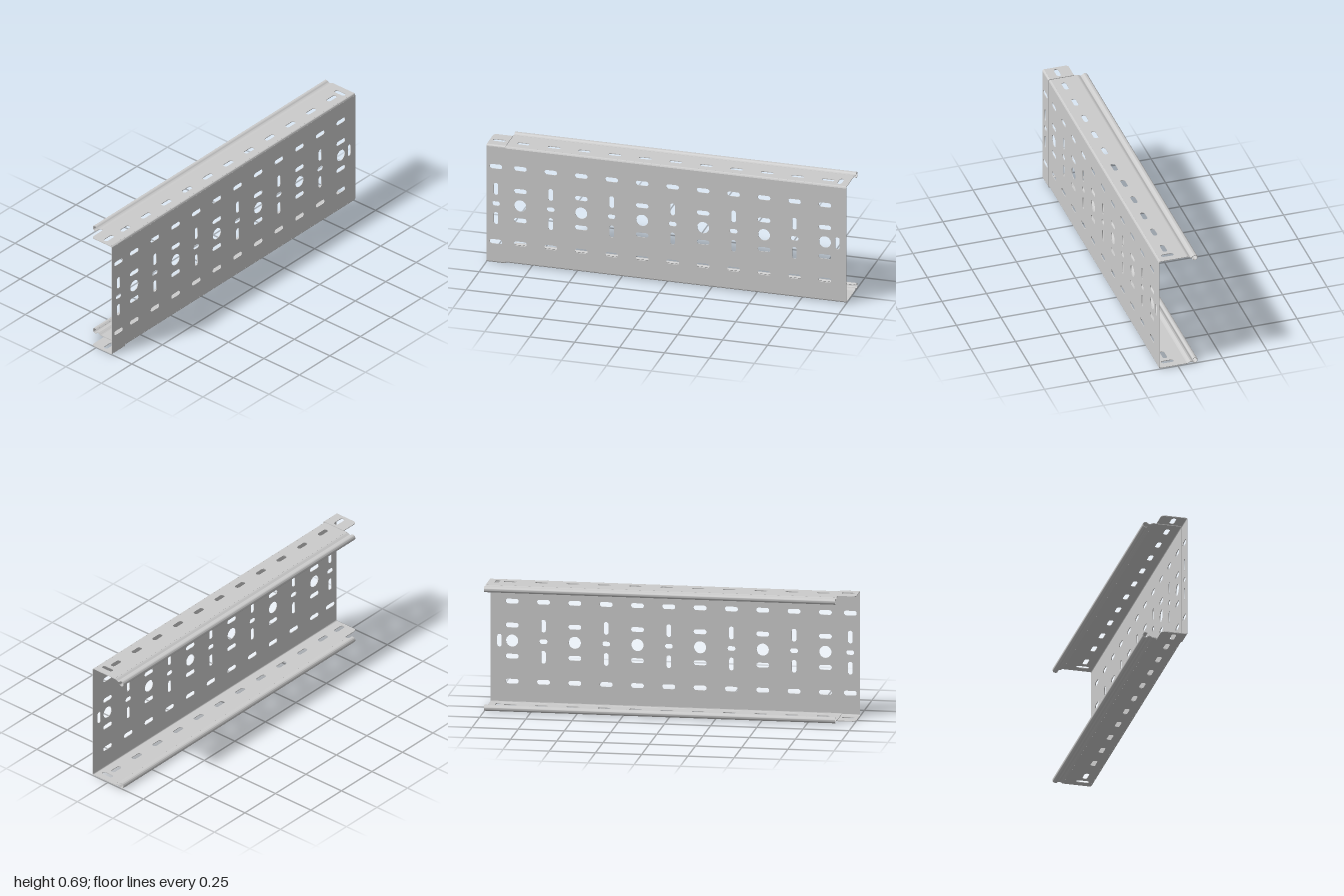
import * as THREE from 'three';
import { toCreasedNormals } from 'three/addons/utils/BufferGeometryUtils.js';

const H = 0.686;        // overall height
const T = 0.004;        // sheet thickness
const R = 0.008;        // bend radius on the sheet centreline
const MID = H / 2;
const JOINT = -0.9;     // where the widened coupling end meets the channel
const END_X = -0.947;   // hole column of the coupling end
const columns = Array.from({ length: 11 }, (_, i) => -0.813 + 0.1695 * i);

const material = new THREE.MeshStandardMaterial({ color: 0xcccccc, side: THREE.DoubleSide });

function addMesh(group, name, geometry) {
  const mesh = new THREE.Mesh(toCreasedNormals(geometry, 0.6), material);
  mesh.name = name;
  group.add(mesh);
}

// Round-ended slot; a square w x h gives a circle
function slot(x, y, w, h) {
  const r = Math.min(w, h) / 2, dx = w / 2 - r, dy = h / 2 - r;
  const p = new THREE.Path();
  if (w >= h) {
    p.absarc(x + dx, y, r, -Math.PI / 2, Math.PI / 2, false);
    p.absarc(x - dx, y, r, Math.PI / 2, Math.PI * 1.5, false);
  } else {
    p.absarc(x, y + dy, r, 0, Math.PI, false);
    p.absarc(x, y - dy, r, Math.PI, Math.PI * 2, false);
  }
  return p;
}

// Flat sheet with holes; c rounds its upper left corner
function sheet(x0, x1, y0, y1, holes, c = 0) {
  const s = new THREE.Shape();
  s.moveTo(x0, y0);
  s.lineTo(x1, y0);
  s.lineTo(x1, y1);
  s.lineTo(x0 + c, y1);
  if (c) s.quadraticCurveTo(x0, y1, x0, y1 - c);
  s.holes.push(...holes);
  return new THREE.ExtrudeGeometry(s, { depth: T, bevelEnabled: false, curveSegments: 10 });
}

// Sheet strip of thickness t following (z, y) centreline points, run along x
function strip(points, x0, x1, t) {
  const outer = [], inner = [];
  points.forEach((p, i) => {
    const a = points[Math.max(i - 1, 0)], b = points[Math.min(i + 1, points.length - 1)];
    const d = b.clone().sub(a).normalize().multiplyScalar(t / 2);
    outer.push(new THREE.Vector2(-(p.x - d.y), p.y + d.x));
    inner.unshift(new THREE.Vector2(-(p.x + d.y), p.y - d.x));
  });
  const g = new THREE.ExtrudeGeometry(new THREE.Shape([...outer, ...inner]),
    { depth: x1 - x0, bevelEnabled: false });
  return g.rotateY(Math.PI / 2).translate(x0, 0, 0);
}

function arc(cx, cy, r, a0, a1, n) {
  return Array.from({ length: n + 1 }, (_, i) => {
    const a = THREE.MathUtils.degToRad(a0 + (a1 - a0) * i / n);
    return new THREE.Vector2(cx + r * Math.cos(a), cy + r * Math.sin(a));
  });
}

const flip = (points) => points.map((p) => new THREE.Vector2(p.x, H - p.y));

// Web, two bends and two flanges of a C section
function section(name, o) {
  const g = new THREE.Group();
  g.name = name;
  const bz = o.front - T / 2 - R, by = o.top - T / 2 - R;
  addMesh(g, 'web', sheet(o.x0, o.x1, H - by, by, o.webHoles).translate(0, 0, o.front - T));
  const bend = arc(bz, by, R, 0, 90, 8);
  addMesh(g, 'upperBend', strip(bend, o.x0, o.x1, T));
  addMesh(g, 'lowerBend', strip(flip(bend), o.x0, o.x1, T));
  for (const [part, y] of [['upperFlange', o.top - T], ['lowerFlange', H - o.top]]) {
    const geo = sheet(o.x0, o.x1, -bz, -o.back, o.flangeHoles, o.corner);
    addMesh(g, part, geo.rotateX(-Math.PI / 2).translate(0, y, 0));
  }
  return g;
}

// Hole patterns
const outerRows = (x) => [-1, 1].map((s) => slot(x, MID + s * 0.219, 0.07, 0.026));
const crossHoles = (x) => [
  ...outerRows(x), slot(x, MID + 0.003, 0.043, 0.025),
  ...[-1, 1].map((s) => slot(x, MID + 0.003 + s * 0.085, 0.025, 0.07)),
];
const roundHoles = (x) => [
  ...outerRows(x), slot(x, MID + 0.003, 0.066, 0.066),
  ...[-1, 1].map((s) => slot(x, MID + 0.003 + s * 0.085, 0.07, 0.026)),
];
const flangeSlot = (x) => slot(x, -0.043, 0.07, 0.026);

export function createModel() {
  const model = new THREE.Group();
  model.name = 'cableTray';

  // Main perforated channel
  const channel = section('channel', {
    x0: JOINT, x1: 1, front: 0.107, top: H - T, back: -0.05, corner: 0,
    webHoles: [...columns.flatMap((x, i) => (i % 2 ? crossHoles(x) : roundHoles(x))),
      slot(0.951, MID + 0.003, 0.025, 0.07)],
    flangeHoles: [...columns.map(flangeSlot), slot(0.951, -0.043, 0.025, 0.07)],
  });
  model.add(channel);

  // Wavy, curled lips along the back of both flanges
  const wave = new THREE.SplineCurve([
    [-0.048, 0.68], [-0.056, 0.679], [-0.064, 0.6745], [-0.072, 0.672], [-0.079, 0.674], [-0.0852, 0.6786],
  ].map((p) => new THREE.Vector2(...p))).getPoints(20);
  const lip = [...wave, ...arc(-0.0945, 0.6675, 0.0145, 50, 315, 28).slice(1)];
  addMesh(channel, 'upperLip', strip(lip, JOINT, 1, 0.0035));
  addMesh(channel, 'lowerLip', strip(flip(lip), JOINT, 1, 0.0035));

  // Widened coupling end that slips over the next tray
  model.add(section('couplingEnd', {
    x0: -1, x1: JOINT + 0.005, front: 0.111, top: H, back: -0.033, corner: 0.022,
    webHoles: crossHoles(END_X),
    flangeHoles: [flangeSlot(END_X)],
  }));
  return model;
}
